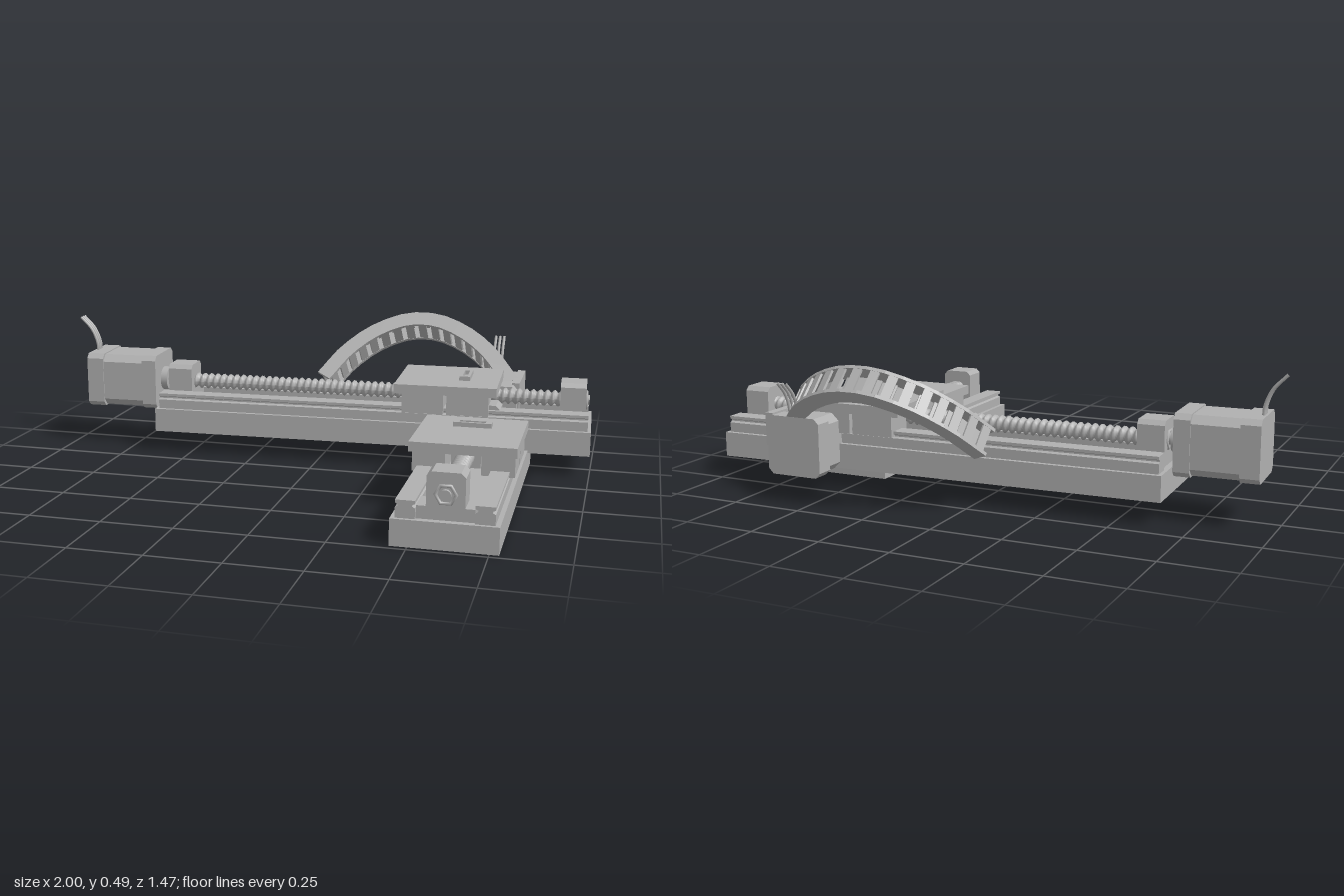
import * as THREE from 'three';

const grey = new THREE.MeshStandardMaterial({ color: 0xb0b0b0 });
grey.name = 'machine grey';

function add(parent, name, geometry, x = 0, y = 0, z = 0) {
  const mesh = new THREE.Mesh(geometry, grey);
  mesh.name = name;
  mesh.position.set(x, y, z);
  parent.add(mesh);
  return mesh;
}

// Box given by its extents
function box(parent, name, x0, x1, y0, y1, z0, z1) {
  return add(parent, name, new THREE.BoxGeometry(x1 - x0, y1 - y0, z1 - z0),
    (x0 + x1) / 2, (y0 + y1) / 2, (z0 + z1) / 2);
}

// Outline of [z, y] points extended along x
function prism(parent, name, points, x0, x1, y = 0, z = 0) {
  const shape = new THREE.Shape(points.map(p => new THREE.Vector2(p[0], p[1])));
  const geometry = new THREE.ExtrudeGeometry(shape, { depth: x1 - x0, bevelEnabled: false });
  geometry.rotateY(Math.PI / 2);
  return add(parent, name, geometry, x0, y, z);
}

// Square of half-size r with cut corners
function octagon(r, c) {
  return [[-r + c, -r], [r - c, -r], [r, -r + c], [r, r - c],
    [r - c, r], [-r + c, r], [-r, r - c], [-r, -r + c]];
}

// Cylinder lying along x
function rod(parent, name, r, x0, x1, y, sides = 24) {
  const geometry = new THREE.CylinderGeometry(r, r, x1 - x0, sides);
  geometry.rotateZ(Math.PI / 2);
  return add(parent, name, geometry, (x0 + x1) / 2, y, 0);
}

// Helical thread: a cylinder whose radius follows angle and height
function leadScrew(parent, x0, x1, y) {
  const length = x1 - x0, pitch = 0.026;
  const geometry = new THREE.CylinderGeometry(1, 1, length, 16, Math.round(length / 0.0045));
  const p = geometry.attributes.position;
  for (let i = 0; i < p.count; i++) {
    const a = Math.atan2(p.getX(i), p.getZ(i));
    const r = 0.0255 + 0.0055 * Math.cos(a + p.getY(i) * 2 * Math.PI / pitch);
    const k = Math.hypot(p.getX(i), p.getZ(i)) > 0.5 ? r : 0;
    p.setXYZ(i, Math.sin(a) * k, p.getY(i), Math.cos(a) * k);
  }
  geometry.computeVertexNormals();
  geometry.rotateZ(Math.PI / 2);
  add(parent, 'leadScrew', geometry, (x0 + x1) / 2, y, 0);
}

function motor(parent, x0, y) {
  const g = new THREE.Group();
  g.name = 'motor';
  g.position.set(x0, y, 0);
  parent.add(g);
  prism(g, 'motorRearCap', octagon(0.104, 0.018), 0, 0.065);
  prism(g, 'motorBody', octagon(0.1, 0.026), 0.065, 0.225);
  prism(g, 'motorFrontCap', octagon(0.104, 0.018), 0.225, 0.28);
  rod(g, 'motorBoss', 0.045, 0.28, 0.305, 0);
  rod(g, 'motorShaft', 0.022, 0.305, 0.35, 0);
  // Three wires rising from the rear cap
  for (const z of [-0.016, 0, 0.016]) {
    const path = new THREE.CatmullRomCurve3([
      new THREE.Vector3(0.012, 0.09, z), new THREE.Vector3(0.01, 0.13, z),
      new THREE.Vector3(-0.012, 0.185, z), new THREE.Vector3(-0.055, 0.232, z)]);
    add(g, 'motorWire', new THREE.TubeGeometry(path, 16, 0.0055, 8));
  }
}

function bearingBlock(parent, x0, x1, outward) {
  const g = new THREE.Group();
  g.name = 'bearingBlock';
  parent.add(g);
  box(g, 'bearingFoot', x0, x1, 0.085, 0.13, -0.09, 0.09);
  prism(g, 'bearingHousing', [[-0.06, 0.13], [0.06, 0.13], [0.06, 0.225],
    [0.045, 0.24], [-0.045, 0.24], [-0.06, 0.225]], x0, x1);
  const face = outward > 0 ? x1 : x0;
  const ring = new THREE.TorusGeometry(0.032, 0.006, 8, 6);
  ring.rotateY(Math.PI / 2);
  add(g, 'bearingNut', ring, face, 0.17, 0);
  rod(g, 'screwEnd', 0.018, face - 0.012, face + 0.012, 0.17, 16);
}

function carriage(parent, x, clipOffset) {
  const g = new THREE.Group();
  g.name = 'carriage';
  g.position.x = x;
  parent.add(g);
  box(g, 'carriagePlate', -0.187, 0.187, 0.2, 0.234, -0.178, 0.178);
  for (const sx of [-1, 1]) for (const sz of [-1, 1])
    box(g, 'slideBlock', sx * 0.082 - 0.076, sx * 0.082 + 0.076,
      0.127, 0.2, sz * 0.115 - 0.055, sz * 0.115 + 0.055);
  box(g, 'screwNut', -0.09, 0.09, 0.13, 0.2, -0.05, 0.05);
  // Slotted sensor clip on the plate
  const outline = new THREE.Shape([[-0.02, -0.066], [0.02, -0.066], [0.02, 0.066],
    [-0.02, 0.066]].map(p => new THREE.Vector2(...p)));
  outline.holes.push(new THREE.Path([[-0.009, -0.045], [-0.009, 0.045], [0.009, 0.045],
    [0.009, -0.045]].map(p => new THREE.Vector2(...p))));
  const clip = new THREE.ExtrudeGeometry(outline, { depth: 0.016, bevelEnabled: false });
  clip.rotateX(-Math.PI / 2);
  add(g, 'plateClip', clip, clipOffset, 0.234, 0);
}

// Linear stage along +x, with the motor at the -x end
function stage(name, length, motorX, carriageX, clipOffset) {
  const g = new THREE.Group();
  g.name = name;
  box(g, 'stageBase', 0, length, 0, 0.088, -0.168, 0.168);
  const rail = [[-0.031, 0.088], [0.031, 0.088], [0.031, 0.122], [0.022, 0.127], [0.022, 0.132],
    [0.031, 0.136], [0.031, 0.146], [-0.031, 0.146], [-0.031, 0.136], [-0.022, 0.132],
    [-0.022, 0.127], [-0.031, 0.122]];
  for (const s of [-1, 1]) prism(g, 'guideRail', rail, 0.012, length - 0.012, 0, s * 0.122);
  leadScrew(g, 0.1, length - 0.1, 0.17);
  bearingBlock(g, 0.022, 0.115, -1);
  bearingBlock(g, length - 0.115, length - 0.022, 1);
  carriage(g, carriageX, clipOffset);
  motor(g, motorX, 0.174);
  return g;
}

// Cable chain on an arch tilted backwards
function cableChain() {
  const g = new THREE.Group();
  g.name = 'cableChain';
  g.position.set(0, 0.428, -0.675);
  g.rotation.x = -Math.PI / 4;
  const curve = new THREE.CatmullRomCurve3([[-0.055, -0.29], [0.02, -0.165], [0.12, -0.065],
    [0.24, -0.005], [0.35, -0.002], [0.46, -0.045], [0.57, -0.13], [0.68, -0.27]]
    .map(p => new THREE.Vector3(p[0], p[1], 0)));
  const count = 17, step = curve.getLength() / count;
  for (let i = 0; i < count; i++) {
    const t = (i + 0.5) / count, tangent = curve.getTangentAt(t);
    const link = new THREE.Group();
    link.name = 'chainLink';
    link.position.copy(curve.getPointAt(t));
    link.rotation.z = Math.atan2(tangent.y, tangent.x);
    g.add(link);
    const h = step / 2 + 0.003;
    for (const s of [-1, 1]) {
      box(link, 'linkSide', -h, h, -0.03, 0.03, s * 0.047 - 0.006, s * 0.047 + 0.006);
      box(link, 'linkBar', -0.016, 0.016, s * 0.025 - 0.004, s * 0.025 + 0.004, -0.045, 0.045);
    }
  }
  return g;
}

export function createModel() {
  const model = new THREE.Group();
  model.name = 'twoAxisStage';

  const lower = stage('lowerStage', 1.01, -0.32, 0.465, -0.065);
  lower.position.set(0.612, 0, -0.28);
  lower.rotation.y = -Math.PI / 2;

  const upper = stage('upperStage', 1.64, -0.298, 1.115, 0.06);
  upper.position.set(-0.645, 0.078, -0.255);
  upper.rotation.y = 0.037;

  model.add(lower, upper, cableChain());
  box(model, 'chainBracket', 0.693, 0.722, 0.17, 0.285, -0.6, -0.36);
  return model;
}
